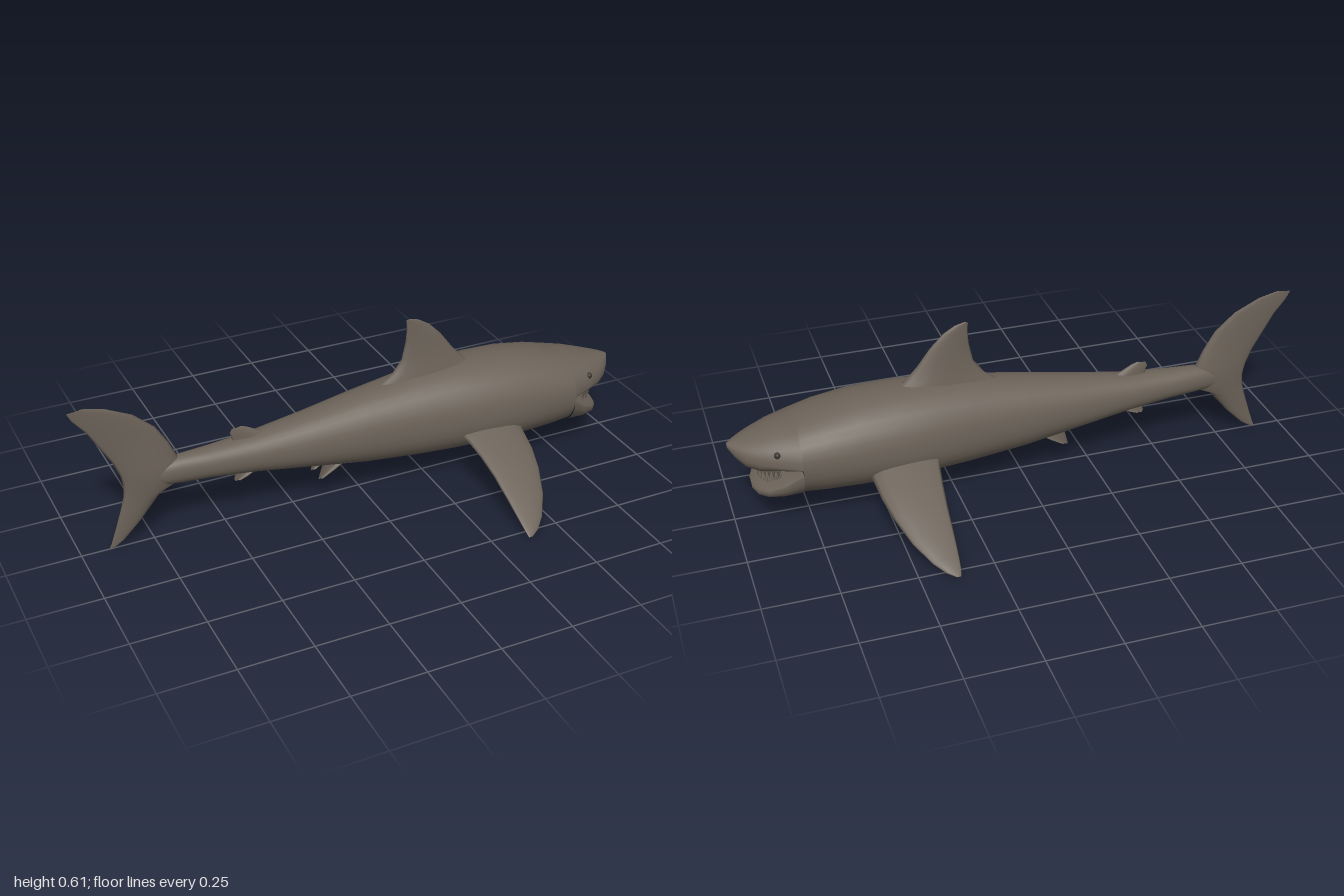
import * as THREE from 'three';

const skin = new THREE.MeshStandardMaterial({ color: 0x6b6258 });
skin.name = 'grey brown skin';
const dark = new THREE.MeshStandardMaterial({ color: 0x3a342e });
dark.name = 'dark eye';

// Closed skin over a row of rings (arrays of Vector3), with sharp end caps
function loft(rings) {
  const n = rings[0].length, pos = [];
  let idx = [];
  const add = (p) => pos.push(p.x, p.y, p.z) / 3 - 1;
  rings.forEach((r) => r.forEach(add));
  for (let i = 0; i < rings.length - 1; i++) {
    for (let j = 0; j < n; j++) {
      const a = i * n + j, b = i * n + (j + 1) % n;
      idx.push(a, a + n, b, b, a + n, b + n);
    }
  }
  [rings[0], rings[rings.length - 1]].forEach((r, end) => {
    const mid = r.reduce((s, p) => s.add(p), new THREE.Vector3()).divideScalar(n);
    const c = add(mid), k = r.map(add);
    for (let j = 0; j < n; j++) {
      const q = k[(j + 1) % n];
      if (end) idx.push(c, q, k[j]);
      else idx.push(c, k[j], q);
    }
  });
  // caps and sides share one winding; make the volume positive
  const v = (i) => new THREE.Vector3().fromArray(pos, i * 3);
  const fix = (list) => {
    const out = [];
    for (let t = 0; t < list.length; t += 3) out.push(list[t], list[t + 2], list[t + 1]);
    return out;
  };
  const sides = (rings.length - 1) * n * 6;
  // first cap must run against the first ring's direction used by the sides
  idx = idx.slice(0, sides).concat(fix(idx.slice(sides)));
  let vol = 0;
  for (let t = 0; t < idx.length; t += 3) vol += v(idx[t]).dot(v(idx[t + 1]).cross(v(idx[t + 2])));
  if (vol < 0) idx = fix(idx);
  const g = new THREE.BufferGeometry();
  g.setAttribute('position', new THREE.Float32BufferAttribute(pos, 3));
  g.setIndex(idx);
  g.computeVertexNormals();
  return g;
}

// Oval body ring: x, top, widest height, bottom, half width
function ovalRing([x, top, mid, bottom, w]) {
  const ring = [];
  for (let j = 0; j < 32; j++) {
    const a = (j / 32) * Math.PI * 2, s = Math.sin(a), c = Math.cos(a), e = 0.92;
    const h = Math.sign(s) * Math.abs(s) ** e;
    ring.push(new THREE.Vector3(x, mid + h * (h > 0 ? top - mid : mid - bottom),
      w * Math.sign(c) * Math.abs(c) ** e));
  }
  return ring;
}

// Lens-shaped fin ring between a leading and a trailing point
function finRing(lead, trail, thick, dir) {
  const A = new THREE.Vector3(...lead), B = new THREE.Vector3(...trail), ring = [];
  for (let j = 0; j < 16; j++) {
    const a = (j / 16) * Math.PI * 2, t = (1 - Math.cos(a)) / 2;
    const fat = Math.sin(a) * thick * (1.25 - 0.6 * t);
    ring.push(A.clone().lerp(B, t).addScaledVector(dir, fat));
  }
  return ring;
}

// Upright fin rows: lead x, lead y, trail x, trail y, half thickness
function uprightFin(rows) {
  const side = new THREE.Vector3(0, 0, 1);
  return loft(rows.map(([lx, ly, tx, ty, th]) => finRing([lx, ly, 0], [tx, ty, 0], th, side)));
}

export function createModel() {
  const model = new THREE.Group();
  const part = (name, geometry, material = skin, parent = model) => {
    const m = new THREE.Mesh(geometry, material);
    m.name = name;
    parent.add(m);
    return m;
  };

  part('body', loft([
    [-0.82, 0.262, 0.24, 0.218, 0.012], [-0.72, 0.285, 0.245, 0.205, 0.027],
    [-0.65, 0.298, 0.25, 0.2, 0.04], [-0.55, 0.301, 0.248, 0.195, 0.05],
    [-0.4, 0.311, 0.245, 0.18, 0.066], [-0.2, 0.34, 0.24, 0.15, 0.09],
    [0, 0.374, 0.24, 0.12, 0.115], [0.2, 0.402, 0.24, 0.104, 0.14],
    [0.33, 0.415, 0.24, 0.1, 0.158], [0.45, 0.418, 0.24, 0.099, 0.17],
    [0.58, 0.411, 0.245, 0.099, 0.172], [0.7, 0.389, 0.25, 0.102, 0.168],
    [0.78, 0.367, 0.25, 0.106, 0.157],
  ].map(ovalRing)));

  part('snout', loft([
    [0.78, 0.367, 0.25, 0.225, 0.157], [0.85, 0.35, 0.258, 0.22, 0.132],
    [0.91, 0.332, 0.262, 0.212, 0.102], [0.95, 0.32, 0.268, 0.225, 0.073],
    [0.98, 0.311, 0.28, 0.257, 0.04], [1, 0.303, 0.296, 0.288, 0.008],
  ].map(ovalRing)));

  part('lowerJaw', loft([
    [0.78, 0.238, 0.225, 0.106, 0.155], [0.84, 0.205, 0.18, 0.106, 0.135],
    [0.89, 0.175, 0.153, 0.11, 0.107], [0.92, 0.163, 0.142, 0.117, 0.072],
    [0.935, 0.15, 0.14, 0.13, 0.03],
  ].map(ovalRing)));

  // Two curved rows of teeth
  const teeth = new THREE.Group();
  teeth.name = 'teeth';
  model.add(teeth);
  for (let i = 0; i < 15; i++) {
    const a = (i / 14 - 0.5) * 2.5, size = 0.85 + 0.15 * (i % 2);
    const up = part('upperTooth', new THREE.ConeGeometry(0.008, 0.045 * size, 5), skin, teeth);
    up.rotation.x = Math.PI;
    up.position.set(0.825 + 0.09 * Math.cos(a), 0.21, 0.1 * Math.sin(a));
    const x = 0.815 + 0.095 * Math.cos(a);
    const low = part('lowerTooth', new THREE.ConeGeometry(0.007, 0.035 * size, 5), skin, teeth);
    low.position.set(x, 0.232 - (x - 0.78) * 0.53, 0.095 * Math.sin(a));
  }

  part('dorsalFin', uprightFin([
    [0.46, 0.395, 0.06, 0.37, 0.042], [0.405, 0.42, 0.125, 0.415, 0.034],
    [0.355, 0.475, 0.163, 0.465, 0.022], [0.31, 0.535, 0.177, 0.53, 0.014],
    [0.265, 0.58, 0.181, 0.575, 0.009], [0.225, 0.604, 0.18, 0.6, 0.005],
    [0.19, 0.613, 0.177, 0.61, 0.002],
  ]));

  part('tailFin', uprightFin([
    [-0.95, 0.546, -1, 0.54, 0.002], [-0.88, 0.53, -0.985, 0.51, 0.004],
    [-0.79, 0.487, -0.945, 0.46, 0.007], [-0.72, 0.425, -0.905, 0.39, 0.011],
    [-0.68, 0.36, -0.87, 0.33, 0.016], [-0.65, 0.295, -0.848, 0.275, 0.025],
    [-0.64, 0.245, -0.84, 0.235, 0.028], [-0.66, 0.205, -0.843, 0.19, 0.022],
    [-0.715, 0.18, -0.857, 0.14, 0.015], [-0.79, 0.09, -0.88, 0.07, 0.009],
    [-0.85, 0.03, -0.897, 0.022, 0.005], [-0.89, 0.004, -0.905, 0.004, 0.002],
  ]));

  part('rearDorsalFin', uprightFin([
    [-0.33, 0.305, -0.46, 0.295, 0.016], [-0.37, 0.325, -0.462, 0.32, 0.011],
    [-0.405, 0.345, -0.468, 0.335, 0.007], [-0.43, 0.354, -0.46, 0.35, 0.003],
  ]));
  part('analFin', uprightFin([
    [-0.34, 0.195, -0.45, 0.2, 0.015], [-0.375, 0.175, -0.455, 0.175, 0.01],
    [-0.41, 0.155, -0.46, 0.155, 0.006], [-0.44, 0.144, -0.455, 0.144, 0.003],
  ]));

  // Paired parts on both flanks
  for (const s of [1, -1]) {
    const side = s > 0 ? 'right' : 'left';
    // lead x, trail x, side distance, lead y, trail y, half thickness
    const up = new THREE.Vector3(0, 0.92, s * 0.4);
    part(side + 'PectoralFin', loft([
      [0.565, 0.325, 0.13, 0.185, 0.205, 0.032], [0.558, 0.335, 0.18, 0.17, 0.19, 0.026],
      [0.55, 0.345, 0.25, 0.148, 0.165, 0.02], [0.53, 0.353, 0.33, 0.117, 0.13, 0.016],
      [0.495, 0.358, 0.42, 0.075, 0.083, 0.012], [0.45, 0.363, 0.49, 0.039, 0.043, 0.008],
      [0.415, 0.367, 0.525, 0.019, 0.021, 0.005], [0.385, 0.372, 0.54, 0.007, 0.007, 0.002],
    ].map(([lx, tx, z, ly, ty, th]) => finRing([lx, ly, z * s], [tx, ty, z * s], th, up))));

    const out = new THREE.Vector3(0, 0, 1);
    part(side + 'PelvicFin', loft([
      [-0.05, -0.15, 0.035, 0.155, 0.014], [-0.1, -0.16, 0.034, 0.12, 0.008],
      [-0.15, -0.167, 0.032, 0.09, 0.003],
    ].map(([lx, tx, z, y, th]) => finRing([lx, y, z * s], [tx, y, z * s], th, out))));

    const eye = part(side + 'Eye', new THREE.SphereGeometry(0.011, 12, 8), dark);
    eye.position.set(0.855, 0.298, 0.117 * s);
  }
  return model;
}
